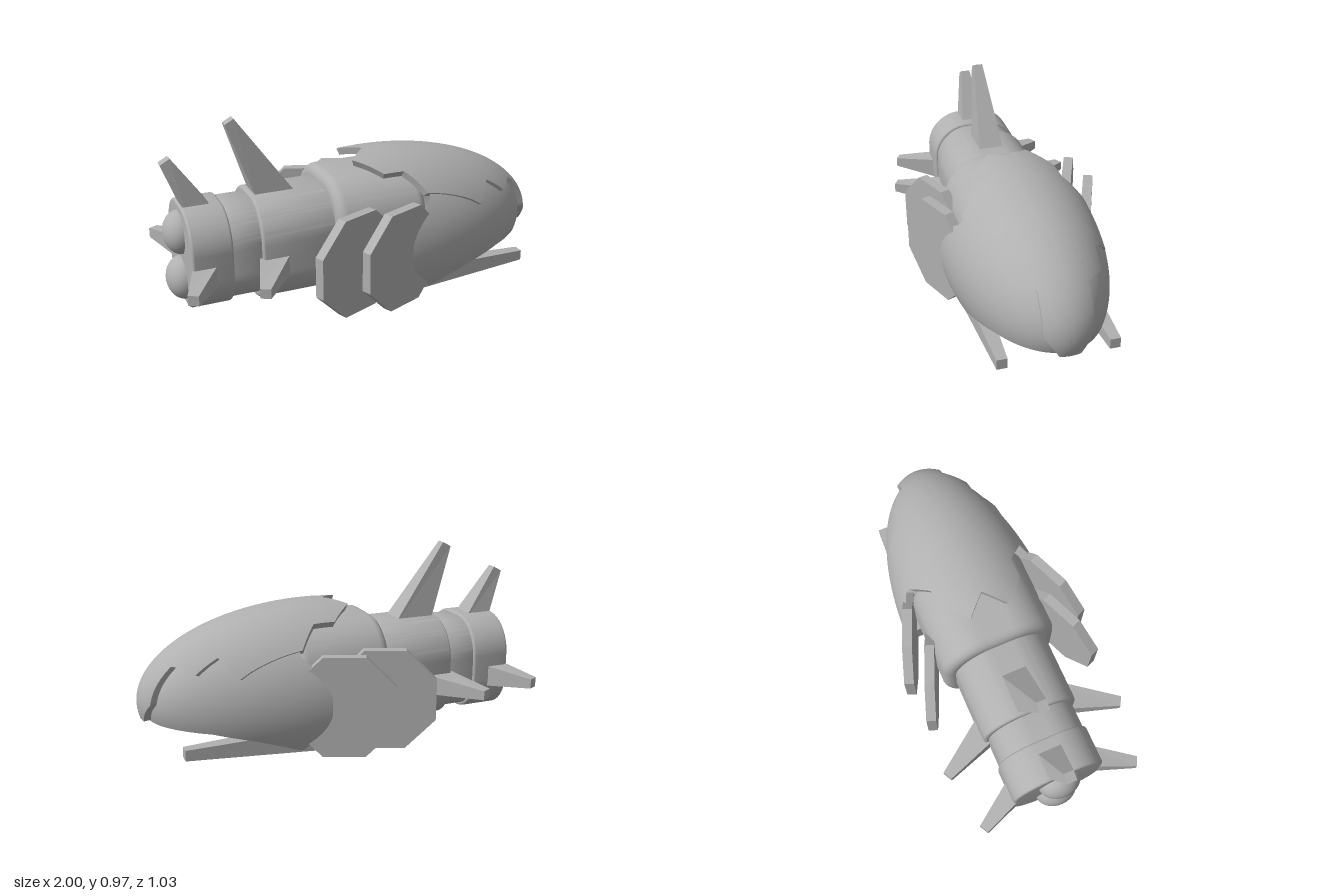
import * as THREE from 'three';
import { toCreasedNormals } from 'three/addons/utils/BufferGeometryUtils.js';

const hullGrey = new THREE.MeshStandardMaterial({ color: 0xb0b0b0, side: THREE.DoubleSide });
hullGrey.name = 'hull grey';
const CX = 0.1, CY = 0.285;
const { sqrt, sin, cos, acos, abs, PI } = Math;
const clamp = THREE.MathUtils.clamp, lerp = THREE.MathUtils.lerp;

function add(group, name, geometry) {
  const mesh = new THREE.Mesh(geometry, hullGrey);
  mesh.name = name;
  group.add(mesh);
  return mesh;
}

// Piecewise linear lookup through [key, value] points
function along(points, k) {
  for (let i = 1; i < points.length; i++) {
    const [a, va] = points[i - 1], [b, vb] = points[i];
    if (k <= b) return lerp(va, vb, clamp((k - a) / (b - a), 0, 1));
  }
  return points[points.length - 1][1];
}

// Surface from a grid of points
function grid(rows, cols, pointAt, crease) {
  const pos = [], idx = [];
  for (let i = 0; i < rows; i++) for (let j = 0; j < cols; j++) {
    pos.push(...pointAt(i, j));
    if (i && j) {
      const d = i * cols + j, c = d - 1, b = d - cols, a = b - 1;
      idx.push(a, b, c, b, d, c);
    }
  }
  const g = new THREE.BufferGeometry();
  g.setAttribute('position', new THREE.Float32BufferAttribute(pos, 3));
  g.setIndex(idx);
  g.computeVertexNormals();
  return crease ? toCreasedNormals(g, crease) : g;
}

// Rounded body section running along x
function section(x0, x1, half, y0, y1, r, bevel) {
  const s = new THREE.Shape();
  s.moveTo(half, y0 + r);
  s.absarc(half - r, y1 - r, r, 0, PI / 2);
  s.absarc(r - half, y1 - r, r, PI / 2, PI);
  s.absarc(r - half, y0 + r, r, PI, PI * 1.5);
  s.absarc(half - r, y0 + r, r, PI * 1.5, PI * 2);
  const g = new THREE.ExtrudeGeometry(s, {
    depth: x1 - x0 - 2 * bevel, bevelThickness: bevel, bevelSize: bevel,
    bevelOffset: -bevel, bevelSegments: 5, curveSegments: 16,
  });
  g.translate(0, 0, x0 + bevel).rotateY(PI / 2);
  return toCreasedNormals(g, 0.6);
}

// Tapered fin: lower and upper ends given as [xBack, yBack, xFront, yFront, halfWidth]
function fin(low, high) {
  const g = new THREE.BoxGeometry(2, 2, 2).toNonIndexed(), p = g.attributes.position;
  for (let i = 0; i < p.count; i++) {
    const e = p.getY(i) > 0 ? high : low, k = p.getX(i) > 0 ? 2 : 0;
    p.setXYZ(i, e[k], e[k + 1], p.getZ(i) * e[4]);
  }
  g.computeVertexNormals();
  return g;
}

// Lower nose shell, open below and cut back around the side plates
function noseShell() {
  const rx = 0.865, ry = 0.43, rz = 0.4, N = 40, M = 72;
  const cut = [[0.28, 0.06], [0.38, 0.1], [0.5, 0.14], [0.7, 0.185], [0.97, 0.205]];
  const rear = [[0.06, 0.27], [0.18, 0.14], [0.42, 0.14], [0.53, 0.27]];
  const ring = x => sqrt(Math.max(1e-6, 1 - ((x - CX) / rx) ** 2));
  const maxAngle = x => acos(clamp((along(cut, x) - CY) / (ry * ring(x)), -1, 1));
  return grid(N + 1, M + 1, (i, j) => {
    const t = j / M * 2 - 1;
    const xr = along(rear, CY + ry * cos(t * maxAngle(0.2)));
    const x = lerp(xr, CX + rx, sin(i / N * PI / 2));
    const a = t * maxAngle(x), f = ring(x);
    return [x, CY + ry * f * cos(a), rz * f * sin(a)];
  });
}

// Raised canopy with stepped edges and a notched rear
function canopy() {
  const rx = 0.9, ry = 0.445, rz = 0.405, M = 44, noseRows = 18;
  const edge = [[0.06, 0.22], [0.17, 0.22], [0.26, 0.31], [0.57, 0.31], [0.65, 0.22], [0.76, 0.22], [0.85, 0.12]];
  const rows = [];
  for (let k = 1; k < edge.length; k++) for (let n = 0; n < 6; n++)
    rows.push(lerp(edge[k - 1][0], edge[k][0], n / 6));
  rows.push(0.85);
  const total = 1 + rows.length + noseRows;
  const spread = z => sqrt(1 - (z / rz) ** 2);
  const angle = (x, z) => acos(clamp((x - CX) / (rx * spread(z)), -1, 1));
  return grid(total + 2, M + 3, (i, j) => {
    const r = clamp(i - 1, 0, total - 1), t = clamp(j - 1, 0, M) / M * 2 - 1;
    let z, a;
    if (r === 0) {
      z = 0.22 * t;
      a = angle(-0.06 + abs(abs(z) - 0.1), z);
    } else if (r <= rows.length) {
      z = along(edge, rows[r - 1]) * t;
      a = angle(rows[r - 1], z);
    } else {
      const s = (r - rows.length) / noseRows;
      z = along([[0, 0.12], [0.66, 0.12], [1, 0.05]], s) * t;
      a = lerp(angle(0.85, z), -0.17, s);
    }
    // the outermost ring of grid points turns inward to form the rim
    const k = i === 0 || j === 0 || i === total + 1 || j === M + 2 ? 0.92 : 1;
    return [CX + k * rx * cos(a) * spread(z), CY + k * ry * sin(a) * spread(z), k * z];
  }, 0.6);
}

// Octagonal armour plate
function plate() {
  const h = 0.2525, c = 0.103, s = new THREE.Shape();
  [[h, -c], [h, c], [c, h], [-c, h], [-h, c], [-h, -c], [-c, -h], [c, -h]]
    .forEach(([x, y], i) => (i ? s.lineTo(x, y) : s.moveTo(x, y)));
  return new THREE.ExtrudeGeometry(s, { depth: 0.05, bevelEnabled: false }).translate(0, 0, -0.025);
}

export function createModel() {
  const model = new THREE.Group();
  model.name = 'spaceship';

  // Fuselage from tail to nose
  add(model, 'tailSection', section(-0.92, -0.72, 0.24, 0.07, 0.58, 0.19, 0.012));
  add(model, 'tailCollar', section(-0.74, -0.56, 0.228, 0.085, 0.567, 0.185, 0.005));
  add(model, 'rearFuselage', section(-0.58, -0.18, 0.252, 0.06, 0.592, 0.2, 0.015));
  add(model, 'mainFuselage', section(-0.21, 0.27, 0.31, 0, 0.645, 0.23, 0.05));
  add(model, 'noseShell', noseShell());
  add(model, 'canopy', canopy());

  // Engine domes
  for (const y of [0.195, 0.435]) {
    const dome = add(model, 'engineDome', new THREE.SphereGeometry(0.11, 32, 20));
    dome.scale.x = 0.8;
    dome.position.set(-0.912, y, 0);
  }

  // Fins on top and on both sides
  const largeFin = fin([-0.535, 0.53, -0.315, 0.53, 0.071], [-0.675, 0.945, -0.63, 0.97, 0.024]);
  const smallFin = fin([-0.89, 0.53, -0.745, 0.53, 0.067], [-0.99, 0.79, -0.945, 0.815, 0.025]);
  add(model, 'largeTopFin', largeFin);
  add(model, 'smallTopFin', smallFin);
  for (const side of [1, -1]) {
    const prefix = side > 0 ? 'front' : 'back';
    for (const [name, geo, inset] of [['LargeFin', largeFin, 0.47], ['SmallFin', smallFin, 0.38]]) {
      const f = add(model, prefix + name, geo);
      f.rotation.x = side * PI / 2;
      f.position.set(0, 0.277, -side * inset);
    }

    // Overlapping side plates
    for (const [x, z] of [[-0.146, 0.365], [0.08, 0.395]]) {
      const p = add(model, prefix + 'Plate', plate());
      p.position.set(x, 0.2825, side * z);
      p.rotation.y = side * 0.384;
    }

    // Forward prong
    const prong = add(model, prefix + 'Prong',
      fin([0.18, 0.045, 0.84, 0.082, 1], [0.18, 0.158, 0.84, 0.135, 1]));
    const p = prong.geometry.attributes.position;
    for (let i = 0; i < p.count; i++) p.setZ(i, p.getZ(i) * (p.getX(i) > 0.5 ? 0.026 : 0.055));
    prong.geometry.computeVertexNormals();
    prong.position.z = side * 0.274;
  }
  return model;
}
